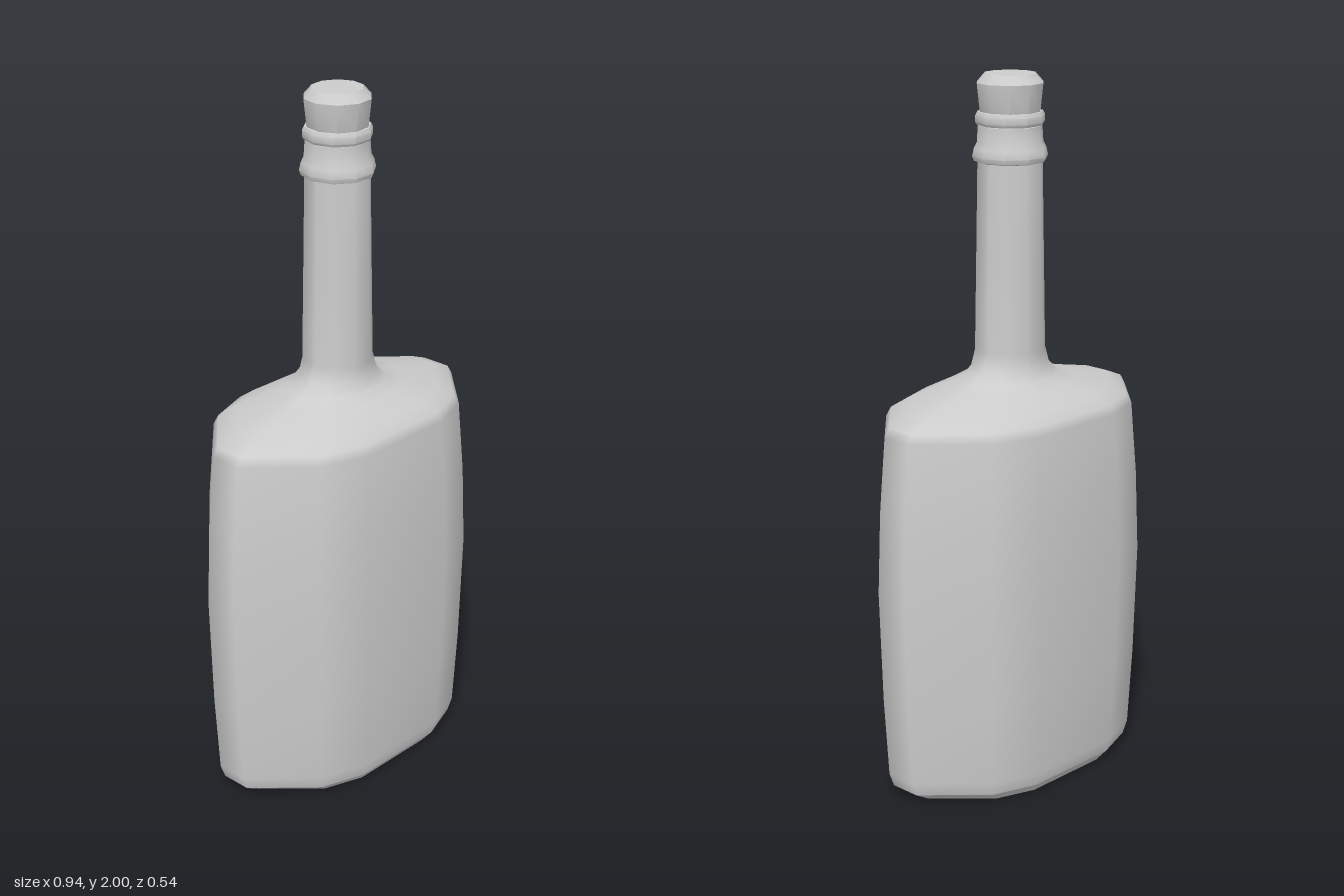
import * as THREE from 'three';
import { toCreasedNormals } from 'three/addons/utils/BufferGeometryUtils.js';

const material = new THREE.MeshStandardMaterial({ color: 0xcccccc });

// Quarter of the faceted body plan (unit half-width, unit half-depth) and the matching neck angles
const PLAN = [[1, 0.185], [0.65, 0.815], [0.351, 1]];
const ANGLES = [5, 36, 72];

// Mirror a quarter outline into a closed 12-point loop running from +x towards +z
function mirrorLoop(quarter) {
  const half = [...quarter, ...quarter.map(([x, z]) => [-x, z]).reverse()];
  return [...half, ...half.map(([x, z]) => [x, -z]).reverse()];
}
const bodyLoop = mirrorLoop(PLAN);
const neckLoop = mirrorLoop(ANGLES.map((d) => {
  const a = THREE.MathUtils.degToRad(d);
  return [Math.cos(a), Math.sin(a)];
}));

// Loft through rings of [y, half-width, half-depth, blend from body plan to round]
function loft(rings) {
  const n = bodyLoop.length, positions = [], index = [];
  rings.forEach(([y, hx, hz, t], i) => {
    for (let j = 0; j < n; j++) {
      positions.push(
        hx * THREE.MathUtils.lerp(bodyLoop[j][0], neckLoop[j][0], t), y,
        hz * THREE.MathUtils.lerp(bodyLoop[j][1], neckLoop[j][1], t));
      if (i === 0) continue;
      const k = (j + 1) % n, lo = (i - 1) * n, hi = i * n;
      index.push(lo + j, hi + j, lo + k, lo + k, hi + j, hi + k);
    }
  });
  const geometry = new THREE.BufferGeometry();
  geometry.setAttribute('position', new THREE.Float32BufferAttribute(positions, 3));
  geometry.setIndex(index);
  geometry.computeVertexNormals();
  return geometry;
}

// Ten-sided turned part from [radius, y] points
function turned(points, crease) {
  const profile = points.map(([r, y]) => new THREE.Vector2(r, y));
  const geometry = new THREE.LatheGeometry(profile, 10, Math.PI / 2);
  geometry.deleteAttribute('normal');
  geometry.deleteAttribute('uv');
  return toCreasedNormals(geometry, crease);
}

export function createModel() {
  const model = new THREE.Group();
  const add = (name, geometry) => {
    const mesh = new THREE.Mesh(geometry, material);
    mesh.name = name;
    model.add(mesh);
    return mesh;
  };

  // Bulging faceted body, shoulder and tapering neck
  add('bodyAndNeck', loft([
    [0.03, 0.43, 0.245, 0],
    [0.07, 0.445, 0.255, 0],
    [0.3, 0.46, 0.265, 0],
    [0.62, 0.47, 0.272, 0],
    [0.85, 0.46, 0.265, 0],
    [1.06, 0.441, 0.251, 0],
    [1.085, 0.425, 0.24, 0],
    [1.11, 0.365, 0.207, 0.05],
    [1.145, 0.215, 0.15, 0.4],
    [1.165, 0.15, 0.122, 0.75],
    [1.195, 0.115, 0.105, 1],
    [1.24, 0.1, 0.099, 1],
    [1.5, 0.095, 0.095, 1],
    [1.77, 0.09, 0.091, 1],
  ]));

  // Chamfered foot with a hollow underside
  add('base', toCreasedNormals(loft([
    [0.06, 0, 0, 0],
    [0.055, 0.15, 0.08, 0],
    [0.035, 0.26, 0.145, 0],
    [0, 0.305, 0.17, 0],
    [0, 0.38, 0.222, 0],
    [0.03, 0.43, 0.245, 0],
  ]), 0.5));

  // Flared collar on the neck
  add('neckCollar', turned([
    [0.085, 1.76], [0.1, 1.765], [0.105, 1.778], [0.1, 1.8],
    [0.092, 1.815], [0.089, 1.86], [0.07, 1.862],
  ], 0.75));

  // Thin lip ring
  add('lipRing', turned([
    [0.07, 1.862], [0.091, 1.862], [0.096, 1.87], [0.096, 1.888],
    [0.091, 1.898], [0.07, 1.9],
  ], 0.75));

  // Stopper, widening upward to a chamfered top
  const stopper = add('stopper', turned([
    [0.08, 1.89], [0.086, 1.9], [0.094, 1.975], [0.072, 2], [0, 2],
  ], 0.7));
  stopper.rotation.y = 0.12;

  return model;
}
